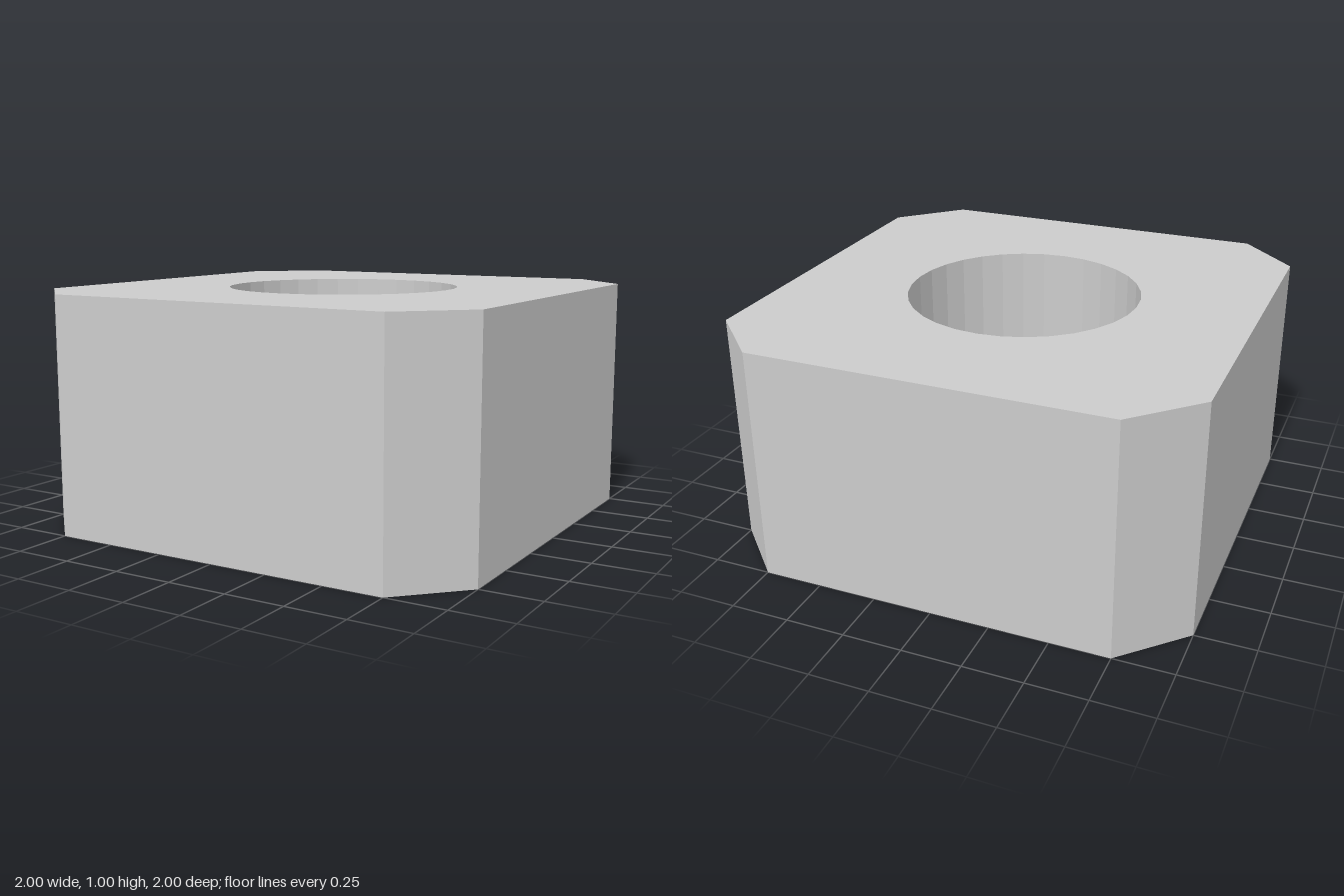
import * as THREE from 'three';

export function createModel() {
  const group = new THREE.Group();
  group.name = 'squareNut';

  // Square outline with chamfered corners
  const half = 1, flat = 0.75, height = 1, holeRadius = 0.5;
  const outline = new THREE.Shape([
    [half, -flat], [half, flat], [flat, half], [-flat, half],
    [-half, flat], [-half, -flat], [-flat, -half], [flat, -half],
  ].map(([x, y]) => new THREE.Vector2(x, y)));

  // Round through hole
  outline.holes.push(new THREE.Path().absarc(0, 0, holeRadius, 0, Math.PI * 2, true));

  // Extrude, then lay flat so the hole runs along y
  const geometry = new THREE.ExtrudeGeometry(outline, {
    depth: height, bevelEnabled: false, curveSegments: 16,
  });
  geometry.rotateX(-Math.PI / 2);

  const body = new THREE.Mesh(
    geometry,
    new THREE.MeshStandardMaterial({ color: 0xcccccc, flatShading: true }),
  );
  body.name = 'chamferedBlockWithHole';
  group.add(body);
  return group;
}
